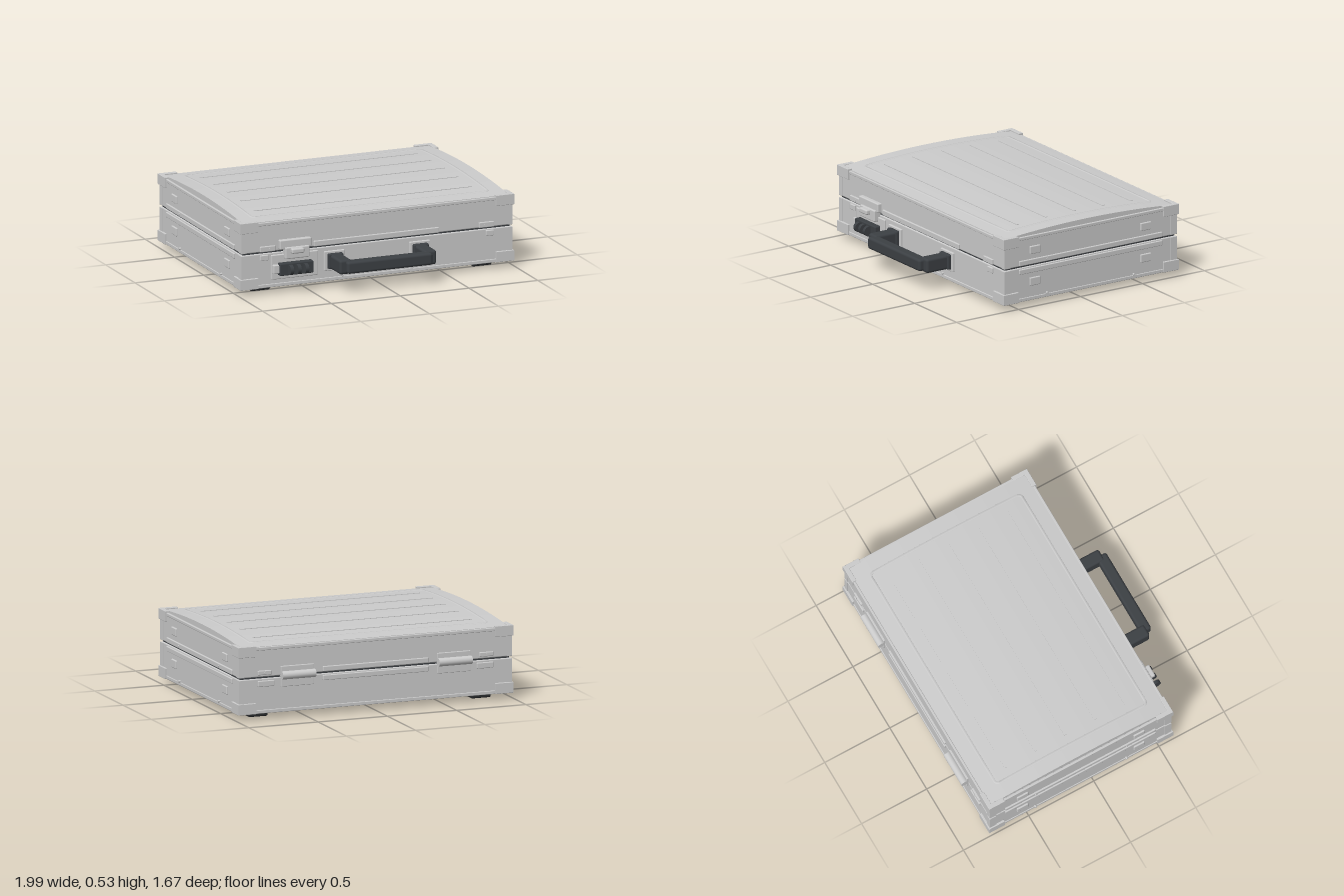
import * as THREE from 'three';
import { RoundedBoxGeometry } from 'three/addons/geometries/RoundedBoxGeometry.js';

const grey = new THREE.MeshStandardMaterial({ color: 0xcccccc });
const dark = new THREE.MeshStandardMaterial({ color: 0x3c4044 });
const black = new THREE.MeshStandardMaterial({ color: 0x2a2c2e });
const X = 0.98, ZF = 0.6, ZB = -0.785, ZC = -0.09;
const SIDES = [-1, 1];

// Height of the gently arched lid
const domeY = z => 0.528 - 0.068 * (z - ZC) ** 2;

export function createModel() {
  const model = new THREE.Group();

  const add = (name, geometry, material = grey, parent = model) => {
    const mesh = new THREE.Mesh(geometry, material);
    mesh.name = name;
    parent.add(mesh);
    return mesh;
  };
  // Box from its bounds, with optional rounded edges
  const box = (name, [x0, x1], [y0, y1], [z0, z1], material = grey, r = 0) => {
    const s = [Math.abs(x1 - x0), y1 - y0, Math.abs(z1 - z0)];
    const geometry = r ? new RoundedBoxGeometry(...s, 2, r) : new THREE.BoxGeometry(...s);
    const mesh = add(name, geometry, material);
    mesh.position.set((x0 + x1) / 2, (y0 + y1) / 2, (z0 + z1) / 2);
    return mesh;
  };
  // Cylinder along an axis
  const rod = (name, r, length, axis, pos, material = grey, sides = 16) => {
    const geometry = new THREE.CylinderGeometry(r, r, length, sides);
    if (axis === 'x') geometry.rotateZ(Math.PI / 2);
    if (axis === 'z') geometry.rotateX(Math.PI / 2);
    const mesh = add(name, geometry, material);
    mesh.position.set(...pos);
    return mesh;
  };
  // Plates on the front and back walls, proud by d
  const onFront = (name, x, y, d, material, r) => box(name, x, y, [ZF - 0.01, ZF + d], material, r);
  const onBack = (name, x, y, d, material, r) => box(name, x, y, [ZB - d, ZB + 0.01], material, r);

  // Shells of the base and lid with a dark seam between
  box('baseShell', [-X, X], [0.045, 0.28], [ZB, ZF], grey, 0.008);
  box('lidShell', [-X, X], [0.29, 0.485], [ZB, ZF], grey, 0.008);
  box('seam', [-X + 0.01, X - 0.01], [0.27, 0.3], [ZB + 0.01, ZF - 0.01], dark);

  // Arched lid panel
  const arch = new THREE.Shape();
  arch.moveTo(-ZF + 0.01, 0.47);
  for (let i = 0; i <= 32; i++) {
    const z = ZF - 0.01 + (ZB - ZF + 0.02) * i / 32;
    arch.lineTo(-z, domeY(z));
  }
  arch.lineTo(-ZB - 0.01, 0.47);
  const dome = new THREE.ExtrudeGeometry(arch, { depth: 1.93, bevelEnabled: false });
  dome.translate(0, 0, -0.965).rotateY(Math.PI / 2);
  add('lidPanel', dome);

  // Ribs across the lid
  for (const z of [-0.555, -0.325, -0.097, 0.132, 0.362]) {
    const rib = box('lidRib', [-0.79, 0.79], [domeY(z) - 0.008, domeY(z) + 0.004], [z - 0.009, z + 0.009]);
    rib.rotation.x = Math.atan(0.136 * (z - ZC));
  }

  // Raised rounded border following the arch
  const loop = inset => {
    const w = 0.87 - inset, h = 0.59 - inset, r = 0.04 - inset, points = [];
    const centres = [[w - r, h - r], [r - w, h - r], [r - w, r - h], [w - r, r - h]];
    centres.forEach(([cx, cz], k) => {
      for (let i = 0; i <= 5; i++) {
        const a = (k + i / 5) * Math.PI / 2;
        points.push([cx + r * Math.cos(a), cz + r * Math.sin(a)]);
      }
      const [nx, nz] = centres[(k + 1) % 4], e = (k + 1) * Math.PI / 2;
      for (let i = 1; i < 12; i++) {
        points.push([cx + (nx - cx) * i / 12 + r * Math.cos(e), cz + (nz - cz) * i / 12 + r * Math.sin(e)]);
      }
    });
    return points;
  };
  const section = [[0, -0.004], [0.003, 0.004], [0.019, 0.004], [0.022, -0.004]];
  const verts = [], index = [];
  const rings = section.map(([inset, lift]) => loop(inset).map(([x, z]) => [x, domeY(z + ZC) + lift, z + ZC]));
  const n = rings[0].length;
  rings.forEach(ring => ring.forEach(p => verts.push(...p)));
  for (let k = 0; k < 3; k++) for (let i = 0; i < n; i++) {
    const a = k * n + i, b = k * n + (i + 1) % n;
    index.push(a, a + n, b, b, a + n, b + n);
  }
  const border = new THREE.BufferGeometry();
  border.setAttribute('position', new THREE.Float32BufferAttribute(verts, 3));
  border.setIndex(index);
  border.computeVertexNormals();
  const borderMaterial = grey.clone();
  borderMaterial.side = THREE.DoubleSide;
  add('lidBorder', border, borderMaterial);

  // Edge rails at the top and bottom, and along the seam
  for (const [y0, y1] of [[0.472, 0.494], [0.042, 0.066]]) {
    for (const s of SIDES) box('sideRail', [s * (X - 0.012), s * (X + 0.005)], [y0, y1], [ZB, ZF], grey, 0.004);
    onFront('frontRail', [-X, X], [y0, y1], 0.006, grey, 0.004);
    onBack('backRail', [-X, X], [y0, y1], 0.006, grey, 0.004);
  }

  // L-shaped corner guards and upright edge strips
  const ell = (w, d, t) => {
    const s = new THREE.Shape();
    [[0, 0], [w, 0], [w, t], [t, t], [t, d], [0, d]].forEach(([x, y]) => s.lineTo(x, y));
    return s;
  };
  const angle = (name, sx, sz, y0, y1, w, d, t, proud) => {
    const shape = new THREE.Shape(ell(w, d, t).getPoints().map(p => new THREE.Vector2(
      sx * (X + proud - p.x), -((sz > 0 ? ZF + proud : ZB - proud) - sz * p.y))));
    const b = 0.003;
    const g = new THREE.ExtrudeGeometry(shape, {
      depth: y1 - y0 - 2 * b, bevelSize: b, bevelThickness: b, bevelOffset: -b, bevelSegments: 2 });
    g.rotateX(-Math.PI / 2).translate(0, y0 + b, 0);
    add(name, g);
  };
  for (const sx of SIDES) for (const sz of SIDES) {
    angle('topCornerGuard', sx, sz, 0.432, 0.506, 0.13, 0.12, 0.032, 0.014);
    angle('bottomCornerGuard', sx, sz, 0.042, 0.116, 0.13, 0.12, 0.032, 0.014);
    angle('lidEdgeStrip', sx, sz, 0.292, 0.44, 0.035, 0.05, 0.015, 0.005);
    angle('baseEdgeStrip', sx, sz, 0.11, 0.278, 0.035, 0.05, 0.015, 0.005);
  }

  // Side strips, square lugs and rivets
  for (const s of SIDES) {
    const x = [s * (X - 0.01), s * (X + 0.011)];
    for (const y of [[0.295, 0.33], [0.235, 0.27]]) box('sideStrip', x, y, [-0.67, 0.485], grey, 0.005);
    for (const z of [[0.315, 0.4], [-0.58, -0.495]]) {
      for (const y of [[0.365, 0.42], [0.143, 0.2]]) box('sideLug', x, y, z, grey, 0.006);
    }
    for (const z of [0.26, -0.44]) {
      for (const y of [0.312, 0.072]) rod('sideRivet', 0.008, 0.016, 'x', [s * (X + 0.008), y, z], grey, 10);
    }
  }

  // Front strips, tabs and rivets
  onFront('frontStrip', [-0.46, 0.45], [0.292, 0.33], 0.012, grey, 0.005);
  for (const s of SIDES) {
    onFront('frontShortStrip', [s * 0.74, s * 0.85], [0.292, 0.33], 0.012, grey, 0.005);
    onFront('frontTab', [s * 0.79, s * 0.85], [0.232, 0.27], 0.012, grey, 0.005);
    for (const [x, y] of [[0.25, 0.31], [0.78, 0.31], [0.25, 0.072]]) {
      rod('frontRivet', 0.008, 0.016, 'z', [s * x, y, ZF + 0.007], grey, 10);
    }
    // Back strips and tabs
    onBack('backTab', [s * 0.75, s * 0.85], [0.305, 0.335], 0.012, grey, 0.005);
    onBack('backLowerTab', [s * 0.73, s * 0.85], [0.225, 0.265], 0.012, grey, 0.005);
    rod('backRivet', 0.008, 0.016, 'z', [s * 0.8, 0.32, ZB - 0.01], grey, 10);
    // Hinges: leaves and barrel
    const hx = [s * 0.445, s * 0.685];
    onBack('hingeUpperLeaf', hx, [0.293, 0.355], 0.012, grey, 0.004);
    onBack('hingeLowerLeaf', hx, [0.215, 0.28], 0.012, grey, 0.004);
    rod('hingeBarrel', 0.028, 0.24, 'x', [s * 0.565, 0.295, -0.81], grey, 20);
  }
  onBack('backUpperStrip', [-0.38, 0.38], [0.295, 0.33], 0.012, grey, 0.005);
  onBack('backLowerStrip', [-0.38, 0.38], [0.235, 0.27], 0.012, grey, 0.005);

  // Combination lock
  onFront('lockPlate', [-0.77, -0.43], [0.095, 0.265], 0.014, grey, 0.006);
  onFront('lockBody', [-0.725, -0.48], [0.125, 0.21], 0.055, dark, 0.008);
  onFront('lockSlider', [-0.765, -0.72], [0.14, 0.2], 0.04, grey, 0.006);
  for (const x of [-0.655, -0.6, -0.545]) rod('lockDial', 0.034, 0.024, 'x', [x, 0.168, 0.67], dark, 20);
  onFront('latchCatch', [-0.715, -0.485], [0.3, 0.365], 0.03, grey, 0.008);
  onFront('latchHasp', [-0.68, -0.505], [0.235, 0.315], 0.045, grey, 0.008);
  onFront('latchKnob', [-0.645, -0.555], [0.275, 0.31], 0.075, grey, 0.01);

  // Carrying handle with mounts, arms and grip
  for (const s of SIDES) {
    onFront('handlePlate', [s * 0.235, s * 0.385], [0.115, 0.25], 0.014, grey, 0.006);
    onFront('handleMount', [s * 0.255, s * 0.365], [0.13, 0.235], 0.04, dark, 0.01);
    box('handleArm', [s * 0.263, s * 0.352], [0.13, 0.23], [0.62, 0.8], dark, 0.018);
  }
  box('handleGrip', [-0.31, 0.31], [0.138, 0.222], [0.757, 0.835], dark, 0.018);

  // Feet and plain plate underneath
  for (const s of SIDES) for (const z of [[0.4, 0.51], [-0.69, -0.58]]) {
    box('foot', [s * 0.735, s * 0.875], [0, 0.05], z, black, 0.01);
  }
  box('bottomPlate', [-0.32, 0.32], [0.036, 0.06], [ZC - 0.15, ZC + 0.15], black);

  return model;
}
